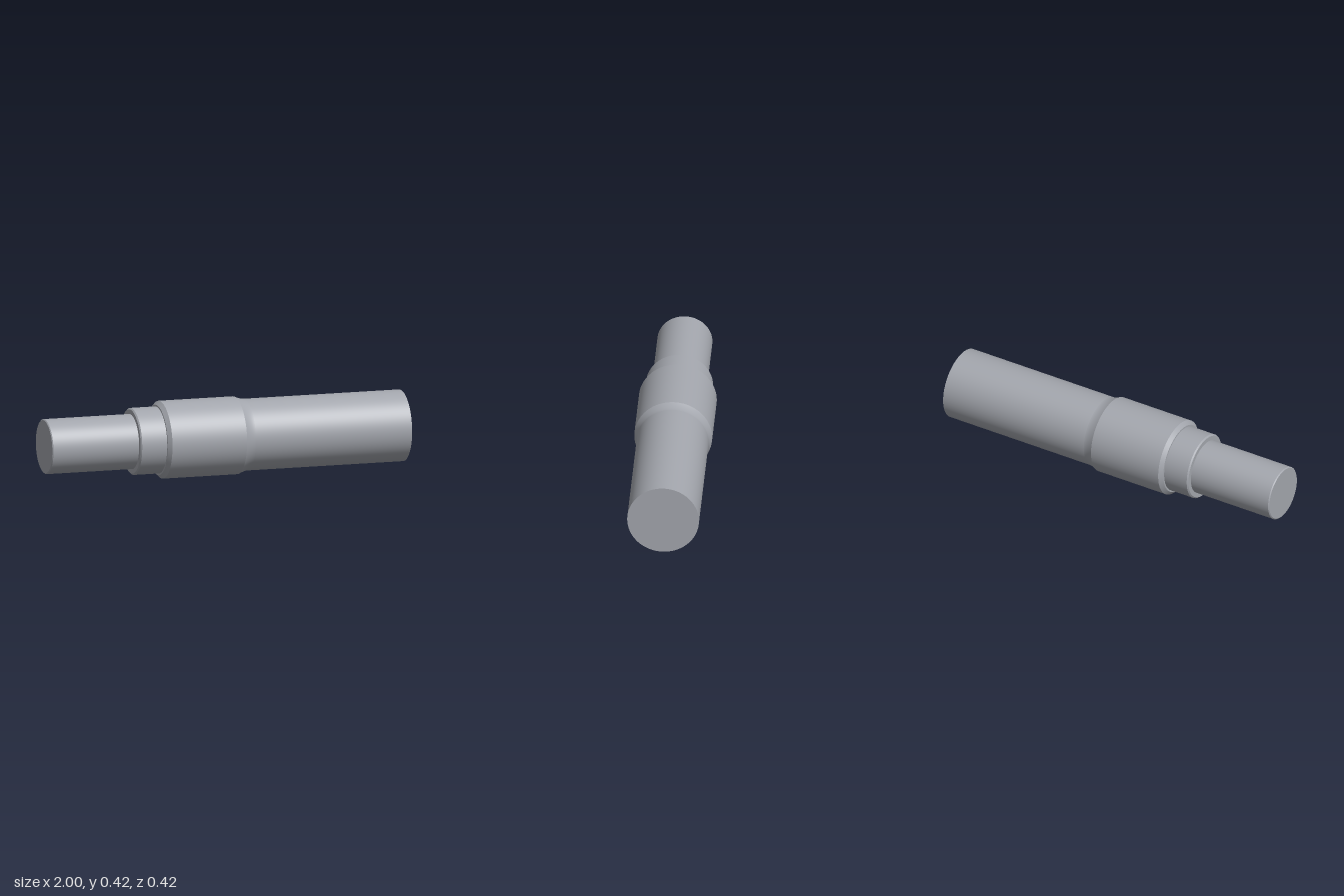
import * as THREE from 'three';

export function createModel() {
  const model = new THREE.Group();
  model.name = 'steppedShaft';
  const steel = new THREE.MeshStandardMaterial({ color: 0xa3a6ad });
  steel.name = 'steel grey';
  const axisHeight = 0.209;

  // Each part is a list of [x, radius] runs; edges between runs stay sharp
  const addTurned = (name, runs) => {
    const part = new THREE.Group();
    part.name = name;
    runs.forEach((run, i) => {
      const geometry = new THREE.LatheGeometry(run.map(([x, r]) => new THREE.Vector2(r, x)), 96);
      geometry.rotateZ(-Math.PI / 2);
      const mesh = new THREE.Mesh(geometry, steel);
      mesh.name = `${name}Surface${i + 1}`;
      part.add(mesh);
    });
    part.position.y = axisHeight;
    model.add(part);
  };
  // Splits a sharp-edged profile into separate straight runs
  const sharp = (points) => points.slice(1).map((p, i) => [points[i], p]);

  // Thin journal with a slightly broken end edge
  addTurned('journal', sharp([[-1, 0], [-1, 0.142], [-0.995, 0.147], [-0.513, 0.147]]));

  // Collar with a chamfered shoulder
  addTurned('collar', sharp([[-0.515, 0.147], [-0.515, 0.172], [-0.508, 0.179], [-0.368, 0.179]]));

  // Wide body with a chamfer facing the collar
  addTurned('body', sharp([[-0.368, 0.179], [-0.368, 0.188], [-0.348, 0.208], [0.07, 0.208]]));

  // Concave blend from the body down to the main shaft
  const blend = [];
  for (let i = 0; i <= 10; i++) {
    const t = i / 10;
    blend.push([0.07 + 0.055 * t, 0.1915 + 0.0165 * (1 - t) ** 1.6]);
  }
  addTurned('blend', [blend]);

  // Main shaft and its flat end
  addTurned('mainShaft', sharp([[0.125, 0.1915], [1, 0.1915], [1, 0]]));

  return model;
}
